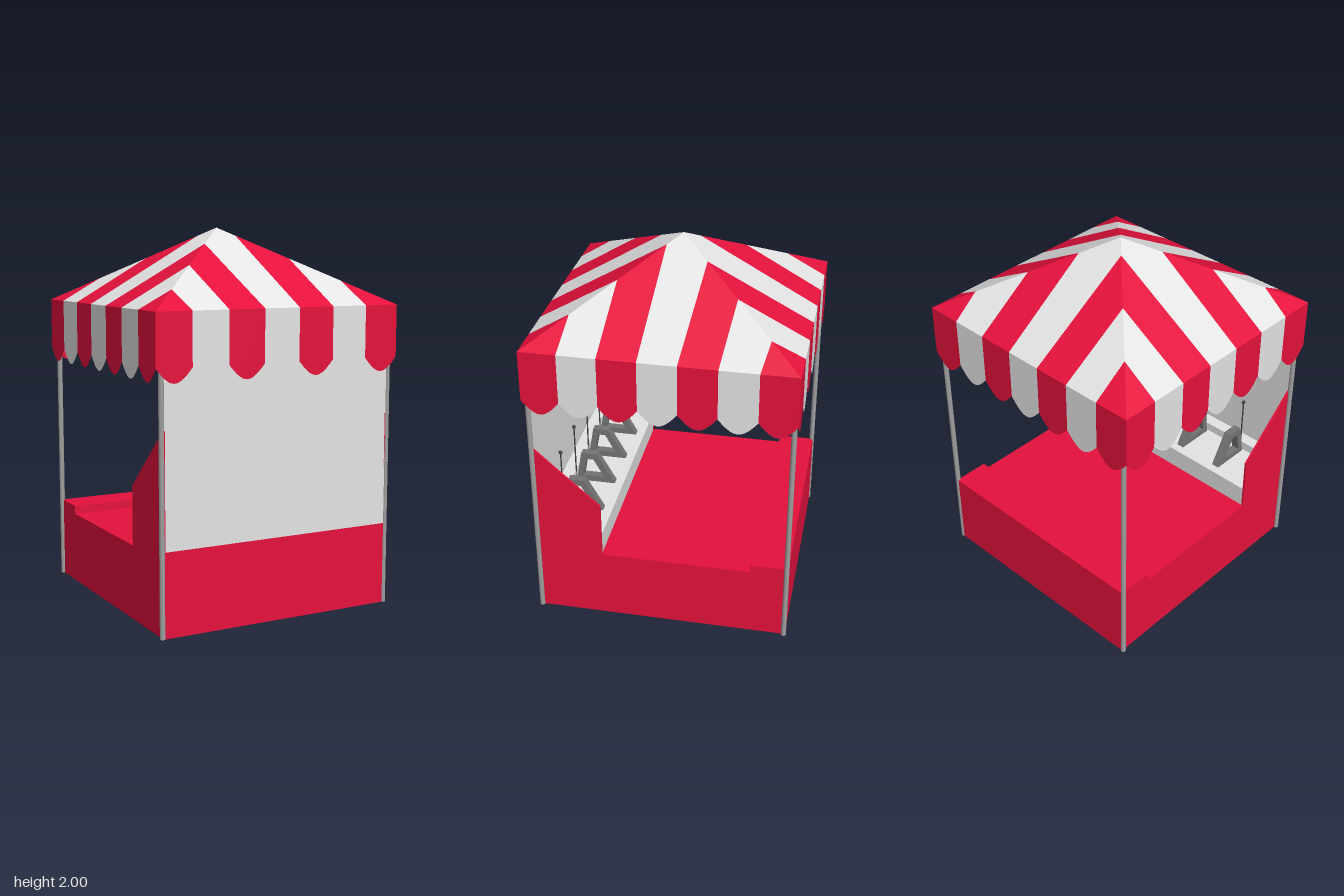
import * as THREE from 'three';

const mat = (name, color, side = THREE.FrontSide) => {
  const m = new THREE.MeshStandardMaterial({ color, side });
  m.name = name;
  return m;
};

export function createModel() {
  const red = mat('red', 0xe6113c);
  const white = mat('white', 0xe4e4e4);
  const redCloth = red, whiteCloth = white;
  redCloth.side = whiteCloth.side = THREE.DoubleSide;
  const steel = mat('steel', 0xa0a0a0);
  const gunGrey = mat('gun grey', 0x747474);
  const dark = mat('dark', 0x444444);

  const model = new THREE.Group();
  model.name = 'marketBooth';
  const add = (name, geometry, material, parent = model) => {
    const mesh = new THREE.Mesh(geometry, material);
    mesh.name = name;
    parent.add(mesh);
    return mesh;
  };
  // Box given by its limits on each axis
  const box = (name, [x0, x1], [y0, y1], [z0, z1], material) => {
    const mesh = add(name, new THREE.BoxGeometry(x1 - x0, y1 - y0, z1 - z0), material);
    mesh.position.set((x0 + x1) / 2, (y0 + y1) / 2, (z0 + z1) / 2);
    return mesh;
  };
  // Extrudes a (z, y) outline along x, centred on the given x
  const slab = (outline, hole, width, x) => {
    const shape = new THREE.Shape(outline.map(p => new THREE.Vector2(...p)));
    if (hole) shape.holes.push(new THREE.Path(hole.map(p => new THREE.Vector2(...p))));
    return new THREE.ExtrudeGeometry(shape, { depth: width, bevelEnabled: false })
      .rotateY(-Math.PI / 2).translate(x + width / 2, 0, 0);
  };

  // Red base with rear counter lip
  const W = 0.655, D = 0.68;
  box('base', [-W, W], [0, 0.39], [-D, D], red);
  box('counterLip', [-W, W], [0.39, 0.435], [-D, -0.48], red);

  // Sloping side panels
  const profile = [[0.32, 0.38], [D, 0.38], [D, 1.03], [0.32, 0.7]];
  for (const s of [-1, 1]) add('sidePanel', slab(profile, null, 0.012, s * (W - 0.006)), red);

  // Front wall, red below and white above
  box('frontSkirt', [-W, W], [0.38, 0.435], [D - 0.012, D], red);
  box('frontWall', [-W, W], [0.435, 1.38], [D - 0.012, D], white);

  // Inner shelf with a step at the wall
  box('shelf', [-W + 0.012, W - 0.012], [0.385, 0.51], [0.322, D - 0.012], white);
  box('shelfStep', [-W + 0.012, W - 0.012], [0.51, 0.56], [0.6, D - 0.012], white);

  // Row of game guns and thin target sticks
  const frame = [[0.37, 0.51], [0.59, 0.51], [0.56, 0.69], [0.47, 0.69]];
  const gap = [[0.43, 0.545], [0.55, 0.545], [0.53, 0.655], [0.49, 0.655]];
  for (const x of [-0.4, -0.133, 0.133, 0.4]) {
    add('gun', slab(frame, gap, 0.045, x), gunGrey);
    add('targetStick', new THREE.CylinderGeometry(0.004, 0.004, 0.32, 6), dark).position.set(x, 0.68, 0.6);
    add('targetTip', new THREE.SphereGeometry(0.011, 8, 6), dark).position.set(x, 0.845, 0.6);
  }

  // Corner poles
  for (const x of [-0.658, 0.658]) for (const z of [-0.673, 0.673]) {
    add('pole', new THREE.CylinderGeometry(0.014, 0.014, 1.6, 10), steel).position.set(x, 0.8, z);
  }

  // Striped canopy: stripe edges at the eave and where they meet the hips
  const E = 0.695;
  const eave = [-E, -0.5, -0.3, -0.1, 0.1, 0.3, 0.5, E];
  const hip = [-E, -0.53, -0.335, -0.15, 0.075, 0.285, 0.485, E];
  const sides = [
    p => [p[0], p[1], p[2]],
    p => [p[2], p[1], p[0]],
    p => [-p[0], p[1], -p[2]],
    p => [-p[2], p[1], -p[0]],
  ];
  const polygon = (points, side) => {
    const pts = points.map(sides[side]);
    if (side % 2) pts.reverse(); // mirrored sides keep facing outward
    const pos = [];
    for (let i = 1; i < pts.length - 1; i++) pos.push(...pts[0], ...pts[i], ...pts[i + 1]);
    const g = new THREE.BufferGeometry();
    g.setAttribute('position', new THREE.Float32BufferAttribute(pos, 3));
    g.computeVertexNormals();
    return g;
  };
  const roofPoint = (x, z) => [x, 1.6 + 0.4 * (1 - z / E), z];
  const canopy = new THREE.Group();
  canopy.name = 'canopy';
  model.add(canopy);
  for (let side = 0; side < 4; side++) {
    for (let i = 0; i < 7; i++) {
      const cloth = i % 2 ? whiteCloth : redCloth;
      const [a, b] = [eave[i], eave[i + 1]];
      const roof = [roofPoint(a, E), roofPoint(b, E)];
      if (i < 6) roof.push(roofPoint(hip[i + 1], Math.abs(hip[i + 1])));
      if (i === 3) roof.push(roofPoint(0, 0));
      if (i > 0) roof.push(roofPoint(hip[i], Math.abs(hip[i])));
      add('roofStripe', polygon(roof, side), cloth, canopy);

      // Hanging scallop below the eave
      const flap = [[b, 1.6, E], [a, 1.6, E]];
      for (let k = 0; k <= 10; k++) {
        flap.push([a + (b - a) * k / 10, 1.33 - 0.074 * Math.sin(Math.PI * k / 10), E]);
      }
      add('valanceFlap', polygon(flap, side), cloth, canopy);
    }
  }
  return model;
}
